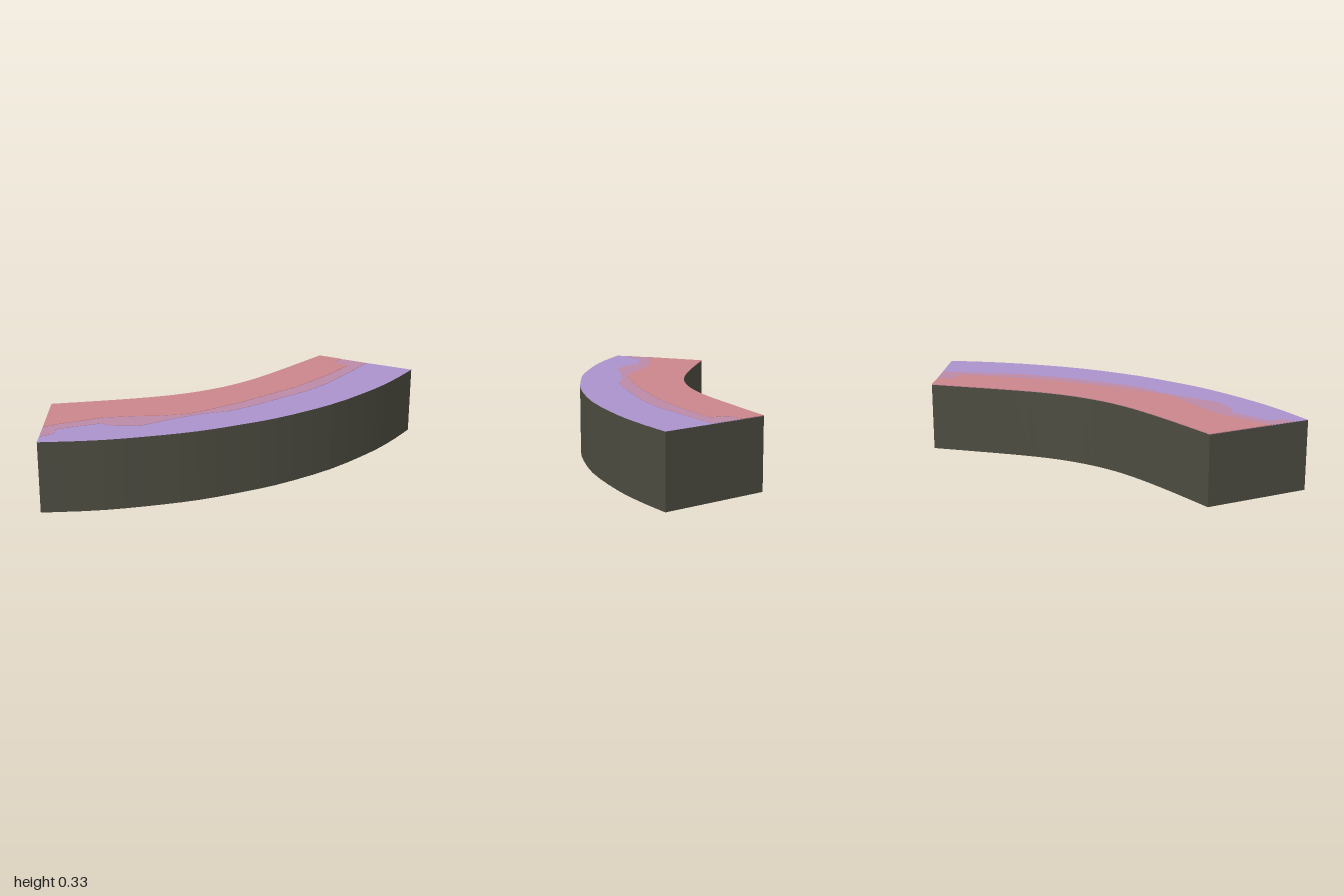
import * as THREE from 'three';

const HEIGHT = 0.323;
const SKIN = 0.0015;

const material = (name, color) => {
  const m = new THREE.MeshStandardMaterial({ color });
  m.name = name;
  return m;
};
const vectors = (pts) => pts.map(([x, z]) => new THREE.Vector2(x, z));
const smooth = (pts, n) => new THREE.SplineCurve(vectors(pts)).getPoints(n);

// Extrudes a plan outline (x, z) between two heights
function slab(name, outline, bottom, top, materials) {
  const geometry = new THREE.ExtrudeGeometry(new THREE.Shape(outline), {
    depth: top - bottom, bevelEnabled: false,
  });
  geometry.rotateX(Math.PI / 2);
  geometry.translate(0, top, 0);
  const mesh = new THREE.Mesh(geometry, materials);
  mesh.name = name;
  return mesh;
}

export function createModel() {
  const stone = material('dark stone', 0x4b4b40);
  const purple = material('purple', 0xab92cb);
  const mauve = material('mauve', 0xba8aa6);
  const pink = material('pink', 0xc9858c);
  const olive = material('olive', 0xb2b268);
  const grey = material('warm grey', 0xaea29c);

  const model = new THREE.Group();
  model.name = 'curvedBlock';

  // Plan curves: concave back and convex front
  const back = smooth([
    [-0.675, -0.43], [-0.4, -0.272], [-0.18, -0.165], [0, -0.112],
    [0.19, -0.092], [0.41, -0.107], [0.83, -0.17],
  ], 24);
  const front = smooth([
    [1, 0.31], [0.8, 0.365], [0.6, 0.402], [0.3, 0.425], [0, 0.4],
    [-0.2, 0.355], [-0.4, 0.295], [-0.6, 0.205], [-0.8, 0.095], [-1, -0.05],
  ], 24);
  model.add(slab('body', [...back, ...front], 0, HEIGHT, [purple, stone]));

  // Colour bands on the top, following the back edge
  const mauveEdge = vectors([
    [0.915, 0.085], [0.73, 0.134], [0.52, 0.19], [0.35, 0.209], [0, 0.198],
    [-0.12, 0.187], [-0.235, 0.134], [-0.37, 0.1], [-0.545, 0.075],
    [-0.63, 0.005], [-0.66, -0.064], [-0.77, -0.107], [-0.85, -0.13],
    [-0.89, -0.09], [-0.955, -0.1],
  ]);
  const pinkEdge = vectors([
    [0.868, -0.055], [0.8, -0.03], [0.8, 0.053], [0.6, 0.1], [0.35, 0.133],
    [0, 0.13], [-0.2, 0.11], [-0.3, 0.09], [-0.4, 0.03], [-0.49, -0.04],
    [-0.61, -0.118], [-0.8, -0.176], [-0.878, -0.19],
  ]);
  model.add(slab('mauveBand', [...back, ...mauveEdge], HEIGHT, HEIGHT + SKIN, mauve));
  model.add(slab('pinkBand', [...back, ...pinkEdge], HEIGHT + SKIN, HEIGHT + 2 * SKIN, pink));

  // Diamonds with small grey centres on the underside
  const diamonds = [
    [[0.85, 0.077], [0.67, 0.03], [0.49, 0.195], [0.74, 0.223]],
    [[0.438, 0.208], [0.26, 0.055], [0.08, 0.175], [0.223, 0.328]],
    [[0.002, 0.2], [-0.127, 0.058], [-0.351, 0.109], [-0.196, 0.272]],
    [[-0.434, 0.113], [-0.471, -0.115], [-0.692, -0.138], [-0.614, 0.111]],
  ];
  diamonds.forEach((corners, i) => {
    const outline = vectors(corners);
    const centre = new THREE.Vector2();
    outline.forEach((p) => centre.addScaledVector(p, 0.25));
    const inner = outline.map((p) => p.clone().lerp(centre, 0.72));
    model.add(slab(`diamond${i + 1}`, outline, -SKIN, 0, olive));
    model.add(slab(`diamondCentre${i + 1}`, inner, -2 * SKIN, -SKIN, grey));
  });

  // Rest the underside plates on the ground
  model.children.forEach((mesh) => { mesh.position.y = 2 * SKIN; });
  return model;
}
